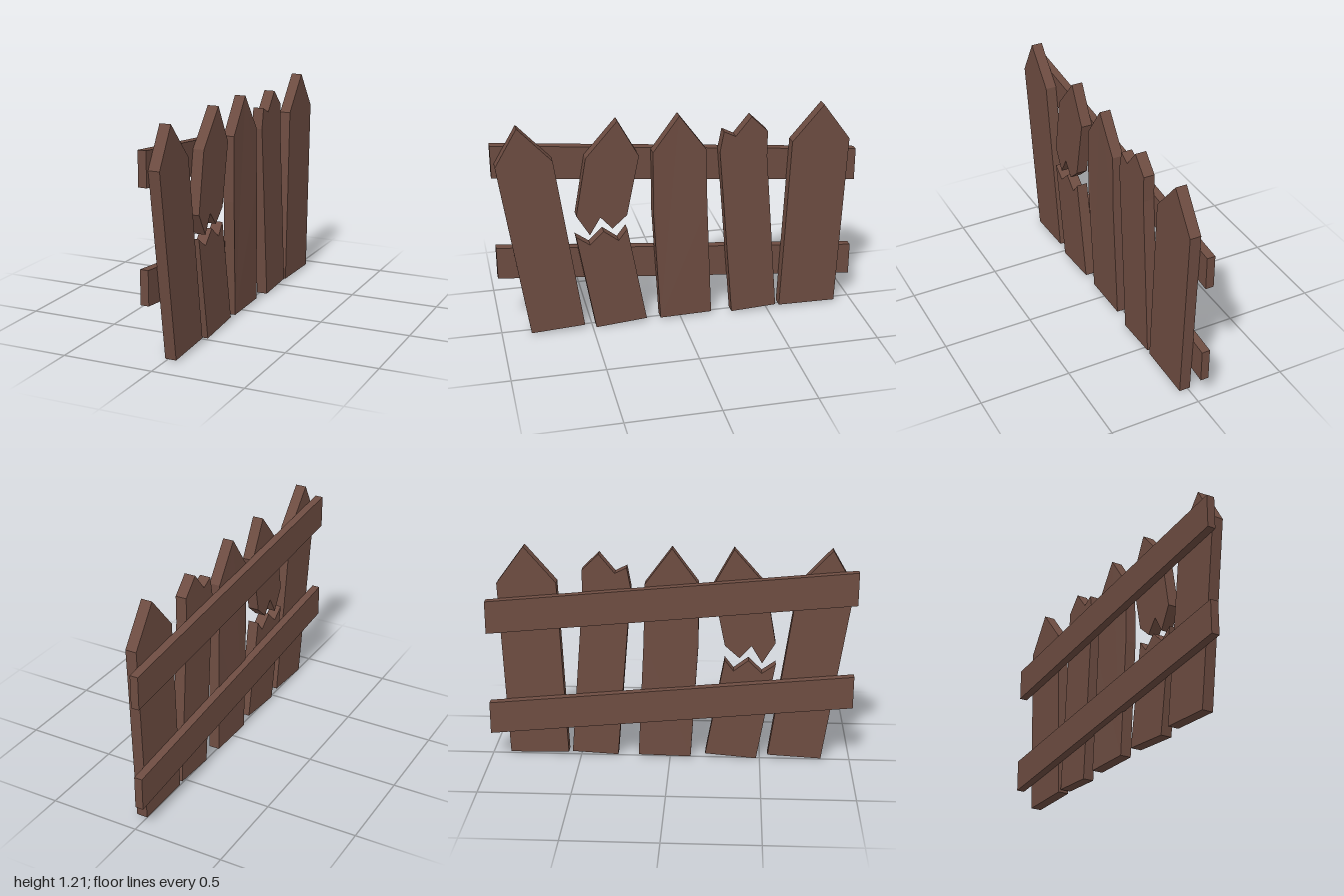
import * as THREE from 'three';

const BACK = -0.053, JOINT = -0.008, FRONT = 0.053;

// Board cut from a [z, y] outline, with thickness along x
function board(name, outline, x0, x1, material) {
  const shape = new THREE.Shape(outline.map(([z, y]) => new THREE.Vector2(-z, y)));
  const geometry = new THREE.ExtrudeGeometry(shape, { depth: x1 - x0, bevelEnabled: false });
  geometry.rotateY(Math.PI / 2).translate(x0, 0, 0);
  const mesh = new THREE.Mesh(geometry, material);
  mesh.name = name;
  return mesh;
}

export function createModel() {
  const group = new THREE.Group();
  group.name = 'brokenPicketFence';
  const wood = new THREE.MeshStandardMaterial({ color: 0x6d4c41 });
  wood.name = 'brownWood';

  // Pickets, each a crooked outline
  const pickets = {
    endPicketLeaning: [[0.84, 0.01], [0.544, 0.027], [0.683, 1.018], [0.862, 1.213], [0.983, 1.007]],
    snappedPicketTop: [[0.34, 1.213], [0.512, 1.018], [0.571, 0.691], [0.501, 0.573], [0.442, 0.672],
      [0.378, 0.6], [0.297, 0.672], [0.228, 1.007]],
    snappedPicketStump: [[0.48, 0.003], [0.196, 0.027], [0.297, 0.589], [0.346, 0.525], [0.426, 0.587],
      [0.501, 0.514], [0.576, 0.568]],
    middlePicket: [[0.115, 0.012], [-0.176, 0.018], [-0.145, 0.686], [-0.137, 1.013], [0.01, 1.213],
      [0.153, 1.018], [0.153, 0.66]],
    chippedPicket: [[-0.292, 0.01], [-0.549, 0.024], [-0.474, 0.943], [-0.474, 1.088], [-0.383, 1.177],
      [-0.297, 1.072], [-0.233, 1.104], [-0.212, 0.991]],
    endPicketUpright: [[-0.571, 0.018], [-0.898, 0.014], [-0.937, 1.007], [-0.785, 1.213], [-0.614, 1.013]],
  };
  for (const [name, outline] of Object.entries(pickets)) {
    group.add(board(name, outline, JOINT, FRONT, wood));
  }

  // The middle picket bends slightly backwards below its waist
  const bent = group.getObjectByName('middlePicket').geometry;
  const p = bent.attributes.position;
  for (let i = 0; i < p.count; i++) {
    p.setX(i, p.getX(i) - 0.018 * Math.max(0, 0.67 - p.getY(i)));
  }
  bent.computeVertexNormals();

  // Two sloping rails behind the pickets
  for (const [name, y] of [['lowerRail', 0.337], ['upperRail', 0.925]]) {
    const outline = [[1, y], [-1, y - 0.192], [-1, y - 0.01], [1, y + 0.182]];
    group.add(board(name, outline, BACK, JOINT, wood));
  }
  return group;
}
